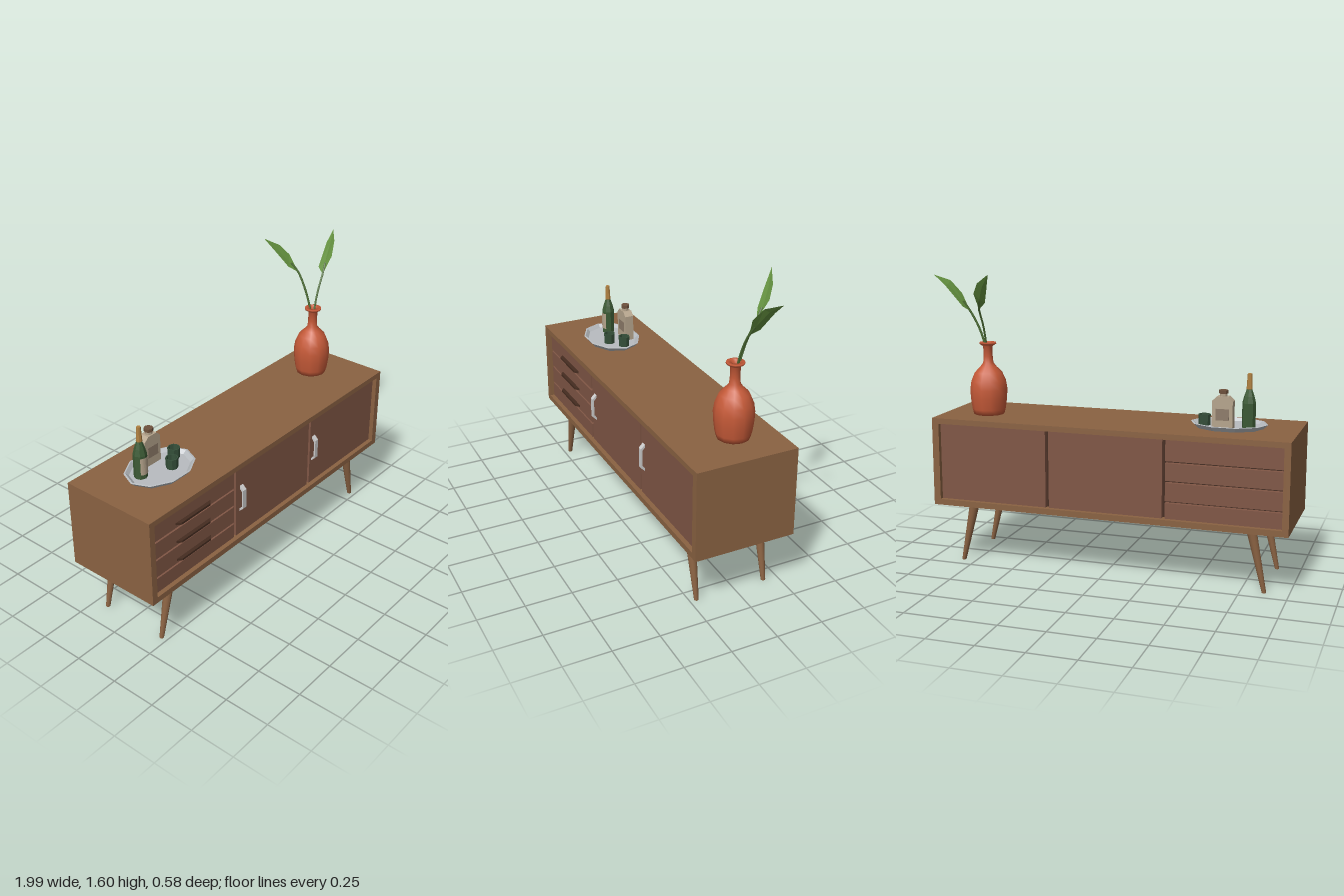
import * as THREE from 'three';

const mat = (color, extra = {}) => new THREE.MeshStandardMaterial({ color, ...extra });
const flat = { flatShading: true };
const open = { flatShading: true, side: THREE.DoubleSide };
const wood = mat(0x8a6242), panelWood = mat(0x805645), darkWood = mat(0x452c20);
const grey = mat(0xcccccc), glass = mat(0x3c5a35, flat), cupGlass = mat(0x35503a, open);
const paper = mat(0xb5a48c, flat), gold = mat(0xb08040, flat), clay = mat(0xc65a38, { side: THREE.DoubleSide });
const trayGrey = mat(0xb8bcc0, open), leafGreen = mat(0x64913f, open), stemGreen = mat(0x4d6e35);

const CX = -0.0235, CZ = 0.019;      // cabinet centre
const BACK = -0.255, FRONT = 0.292;  // cabinet depth range
const RECESS = 0.025, TOP = 0.815;
const FACE = FRONT - RECESS;         // front face of doors and drawers

const vec = pts => pts.map(p => new THREE.Vector2(...p));

function add(parent, name, geo, material, x = 0, y = 0, z = 0) {
  const m = new THREE.Mesh(geo, material);
  m.name = name;
  m.position.set(x, y, z);
  parent.add(m);
  return m;
}

// Box given by its x, y and z ranges
function box(parent, name, material, [x0, x1], [y0, y1], [z0, z1]) {
  return add(parent, name, new THREE.BoxGeometry(x1 - x0, y1 - y0, z1 - z0), material,
    (x0 + x1) / 2, (y0 + y1) / 2, (z0 + z1) / 2);
}

function rect(Type, x0, y0, x1, y1) {
  return new Type(vec([[x0, y0], [x1, y0], [x1, y1], [x0, y1]]));
}

function lathe(pts, sides, phi = 0) {
  return new THREE.LatheGeometry(vec(pts), sides, phi);
}

function extrude(pts, depth) {
  const geo = new THREE.ExtrudeGeometry(new THREE.Shape(vec(pts)), { depth, bevelEnabled: false });
  return geo.translate(0, 0, -depth / 2);
}

function buildCabinet() {
  const g = new THREE.Group();
  g.name = 'cabinet';

  // Open frame running front to back
  const outline = rect(THREE.Shape, -1, 0.33, 0.955, TOP);
  outline.holes.push(rect(THREE.Path, -0.966, 0.362, 0.917, 0.785));
  const frame = new THREE.ExtrudeGeometry(outline, { depth: FRONT - BACK, bevelEnabled: false });
  add(g, 'frame', frame, wood, 0, 0, BACK);

  // Dark core seen in the gaps between the panels
  box(g, 'core', darkWood, [-0.966, 0.917], [0.362, 0.785], [BACK + 0.05, FRONT - 0.05]);

  const depth = [BACK + RECESS, FACE];
  for (const x of [[-0.338, 0.288], [0.306, 0.917]]) box(g, 'door', panelWood, x, [0.362, 0.785], depth);
  for (const y of [[0.362, 0.445], [0.456, 0.553], [0.564, 0.657], [0.668, 0.785]])
    box(g, 'drawer', panelWood, [-0.966, -0.354], y, depth);

  // Drawer pulls
  const pull = extrude([[-0.128, 0], [0.128, 0], [0.105, 0.02], [-0.105, 0.02]], 0.012).rotateX(Math.PI / 2);
  for (const y of [0.476, 0.584, 0.691]) add(g, 'drawerPull', pull, darkWood, -0.667, y, FACE);

  // Bowed door handles
  const bow = extrude([[0, 0.078], [0, 0.062], [0.015, 0.045], [0.015, -0.045], [0, -0.062],
    [0, -0.078], [0.023, -0.055], [0.023, 0.055]], 0.026).rotateY(-Math.PI / 2);
  for (const x of [-0.295, 0.336]) add(g, 'doorHandle', bow, grey, x, 0.582, FACE);

  // Tapered legs splayed to the sides
  for (const s of [-1, 1]) {
    const leg = new THREE.CylinderGeometry(0.028, 0.012, 0.335, 12);
    const p = leg.attributes.position;
    for (let i = 0; i < p.count; i++) p.setX(i, p.getX(i) + s * 0.075 * (0.5 - p.getY(i) / 0.335));
    leg.computeVertexNormals();
    for (const z of [0.213, -0.174]) add(g, 'leg', leg, wood, CX + s * 0.773, 0.1675, z);
  }
  return g;
}

// Leaf folded along its midrib: base, left/right pairs, tip
function leafGeometry(base, pairs, tip) {
  const pos = [], tri = (...ps) => ps.forEach(p => pos.push(...p));
  const mid = ([a, b]) => a.map((v, i) => (v + b[i]) / 2 - (i === 1 ? 0.006 : 0));
  const rows = [[base, base, base], ...pairs.map(p => [p[0], mid(p), p[1]]), [tip, tip, tip]];
  for (let r = 0; r < rows.length - 1; r++)
    for (let k = 0; k < 2; k++) {
      const [a, b, c, d] = [rows[r][k], rows[r][k + 1], rows[r + 1][k + 1], rows[r + 1][k]];
      if (a !== b) tri(a, b, c);
      if (c !== d) tri(a, c, d);
    }
  const geo = new THREE.BufferGeometry();
  geo.setAttribute('position', new THREE.Float32BufferAttribute(pos, 3));
  geo.computeVertexNormals();
  return geo;
}

function buildPlant() {
  const g = new THREE.Group();
  g.name = 'vaseWithLeaves';
  const vase = lathe([[0, 0], [0.084, 0], [0.092, 0.03], [0.1, 0.09], [0.102, 0.14], [0.095, 0.185], [0.075, 0.232],
    [0.045, 0.262], [0.028, 0.285], [0.025, 0.32], [0.026, 0.375], [0.046, 0.388], [0.046, 0.397],
    [0.024, 0.397], [0.018, 0.37], [0.016, 0.3], [0, 0.29]], 12);
  add(g, 'vase', vase, clay, 0.714, TOP, -0.034);

  const stems = [
    [[0.712, 1.11, -0.034], [0.73, 1.2, -0.036], [0.765, 1.3, -0.04], [0.812, 1.385, -0.045], [0.845, 1.435, -0.055]],
    [[0.715, 1.11, -0.034], [0.714, 1.2, -0.054], [0.712, 1.31, -0.092], [0.71, 1.405, -0.145], [0.692, 1.45, -0.18]],
  ];
  for (const s of stems) {
    const curve = new THREE.CatmullRomCurve3(s.map(p => new THREE.Vector3(...p)));
    add(g, 'stem', new THREE.TubeGeometry(curve, 10, 0.006, 6), stemGreen);
  }
  add(g, 'leaf', leafGeometry([0.81, 1.38, -0.045],
    [[[0.832, 1.408, -0.09], [0.865, 1.475, -0.026]], [[0.925, 1.52, -0.106], [0.92, 1.545, -0.05]]],
    [0.99, 1.578, -0.108]), leafGreen);
  add(g, 'leaf', leafGeometry([0.71, 1.4, -0.142],
    [[[0.66, 1.44, -0.175], [0.71, 1.49, -0.208]], [[0.625, 1.515, -0.228], [0.67, 1.547, -0.248]]],
    [0.586, 1.598, -0.29]), leafGreen);
  return g;
}

function buildTray() {
  const g = new THREE.Group();
  g.name = 'drinksTray';

  // Flared ten-sided tray
  const tray = lathe([[0, 0], [0.87, 0], [1, 0.024], [0.95, 0.026], [0.85, 0.009], [0, 0.009]], 10, Math.PI / 2);
  add(g, 'tray', tray.scale(0.206, 1, 0.154), trayGrey, -0.63, TOP, 0.017);

  // Tall bottle
  const [bx, by, bz] = [-0.738, TOP + 0.009, -0.01];
  add(g, 'bottle', lathe([[0, 0], [0.035, 0], [0.036, 0.13], [0.027, 0.165], [0.015, 0.2], [0.012, 0.25], [0, 0.25]], 8),
    glass, bx, by, bz);
  add(g, 'bottleLabel', new THREE.CylinderGeometry(0.0375, 0.037, 0.095, 8, 1, true, -Math.PI / 4, Math.PI / 2),
    paper, bx, by + 0.073, bz);
  add(g, 'bottleFoil', new THREE.CylinderGeometry(0.0115, 0.016, 0.08, 8), gold, bx, by + 0.243, bz);

  // Square decanter with sloping shoulders
  const [dx, dz] = [-0.615, -0.065];
  const body = extrude([[-0.054, 0], [0.054, 0], [0.054, 0.145], [0.03, 0.168], [-0.03, 0.168], [-0.054, 0.145]], 0.05);
  add(g, 'decanter', body, paper, dx, by, dz);
  add(g, 'decanterLabel', new THREE.BoxGeometry(0.07, 0.06, 0.053), mat(0x8d7b69), dx, by + 0.075, dz);
  add(g, 'decanterNeck', new THREE.CylinderGeometry(0.02, 0.02, 0.02, 8), paper, dx, by + 0.175, dz);
  add(g, 'decanterStopper', new THREE.CylinderGeometry(0.024, 0.024, 0.018, 8), mat(0x6e513c, flat), dx, by + 0.192, dz);

  // Drinking glasses
  const cup = lathe([[0, 0], [0.031, 0], [0.033, 0.057], [0.028, 0.057], [0.026, 0.012], [0, 0.012]], 8);
  for (const [x, z] of [[-0.503, -0.004], [-0.58, 0.053]]) add(g, 'cup', cup, cupGlass, x, by, z);
  return g;
}

export function createModel() {
  const model = new THREE.Group();
  model.name = 'sideboard';
  model.add(buildCabinet(), buildPlant(), buildTray());
  return model;
}
